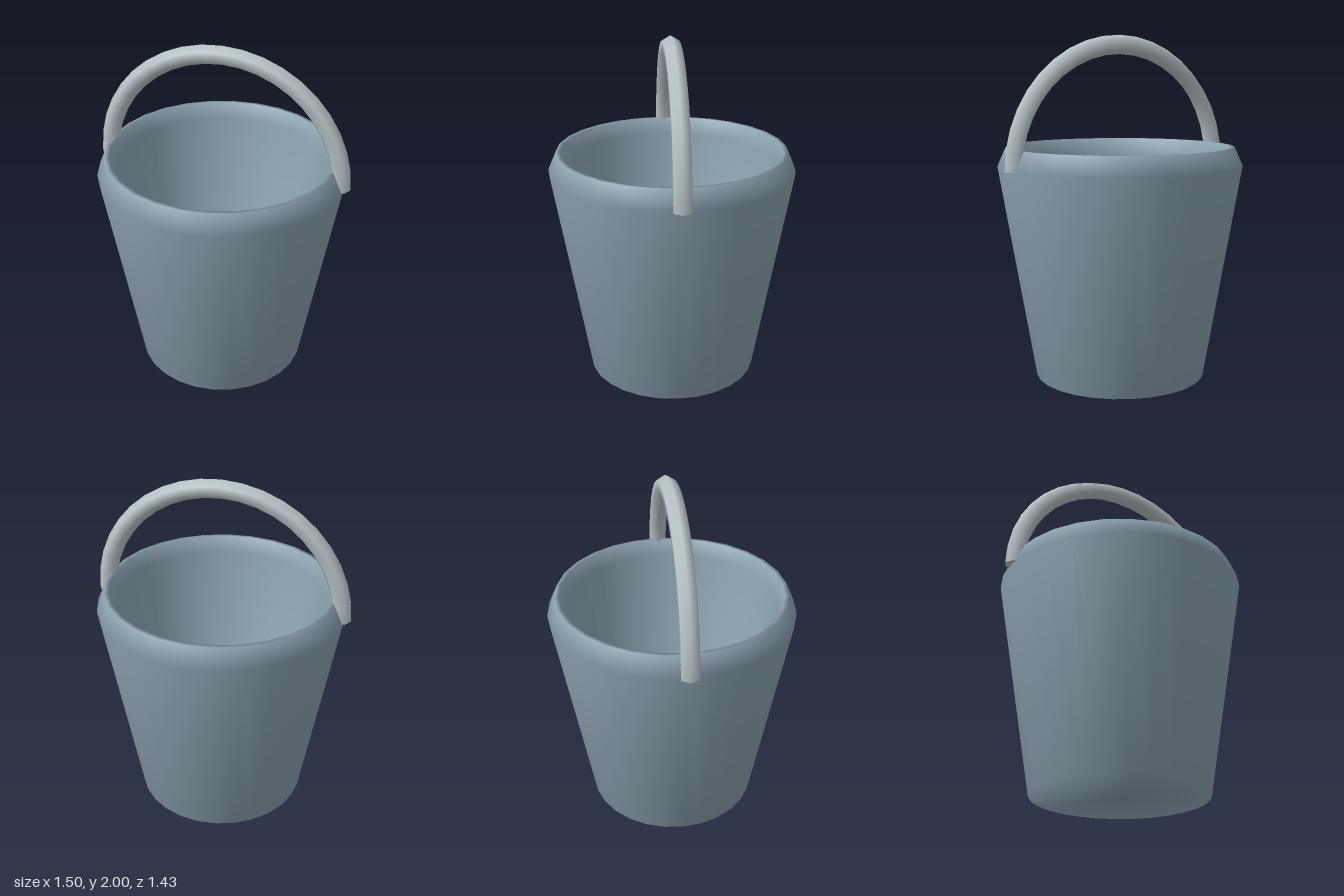
import * as THREE from 'three';
import { mergeVertices } from 'three/addons/utils/BufferGeometryUtils.js';

const SIDES = 28;
const HANDLE_Y = 1.247, HANDLE_R = 0.697, TUBE_R = 0.055;

// Weld the seam and poles, then recompute smooth normals
function smooth(geometry) {
  geometry.deleteAttribute('normal');
  geometry.deleteAttribute('uv');
  const welded = mergeVertices(geometry, 1e-4);
  welded.computeVertexNormals();
  return welded;
}

function addMesh(parent, name, geometry, material) {
  const mesh = new THREE.Mesh(geometry, material);
  mesh.name = name;
  parent.add(mesh);
  return mesh;
}

export function createModel() {
  const model = new THREE.Group();
  model.name = 'bucket';
  const bodyMaterial = new THREE.MeshStandardMaterial({ color: 0x8ca3b0 });
  const handleMaterial = new THREE.MeshStandardMaterial({ color: 0xb8c4c8 });

  // Body: underside, tapered wall, bevelled rim, inner wall and floor
  const profile = [
    [0, 0], [0.5, 0], [0.713, 1.25], [0.665, 1.36],
    [0.64, 1.36], [0.605, 1.27], [0.42, 0.1], [0, 0.1],
  ].map(([r, y]) => new THREE.Vector2(r, y));
  addMesh(model, 'body', smooth(new THREE.LatheGeometry(profile, SIDES)), bodyMaterial);

  // Handle: half ring with a six-sided section
  const handle = new THREE.Group();
  handle.name = 'handle';
  handle.position.y = HANDLE_Y;
  model.add(handle);
  addMesh(handle, 'handleArch',
    new THREE.TorusGeometry(HANDLE_R, TUBE_R, 6, 20, Math.PI), handleMaterial);

  // Flat caps under both handle ends
  for (const side of [1, -1]) {
    const cap = addMesh(handle, side > 0 ? 'leftHandleEnd' : 'rightHandleEnd',
      new THREE.CircleGeometry(TUBE_R, 6), handleMaterial);
    cap.rotation.x = Math.PI / 2;
    cap.position.x = side * HANDLE_R;
  }
  return model;
}
